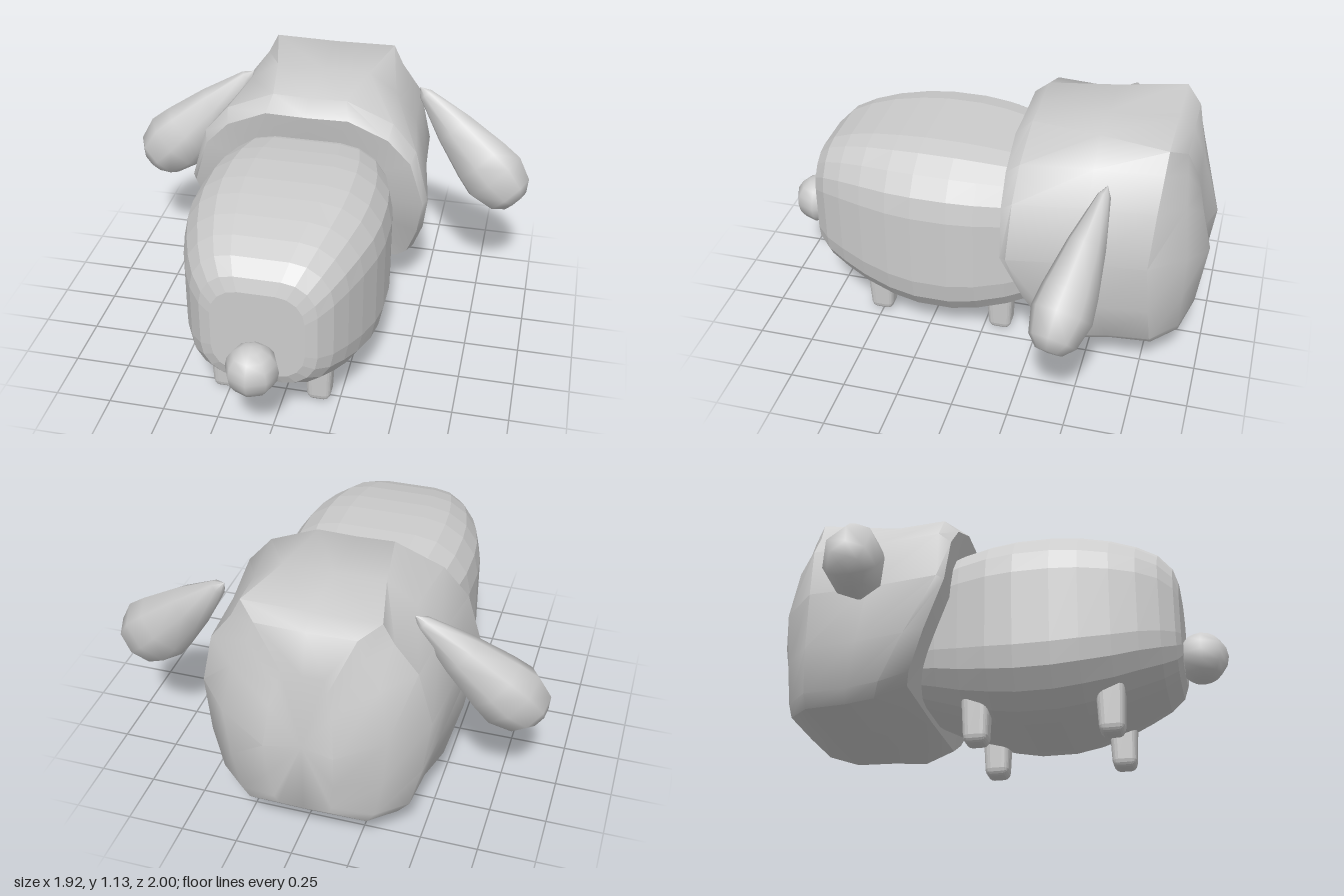
import * as THREE from 'three';
import { toCreasedNormals } from 'three/addons/utils/BufferGeometryUtils.js';
import { RoundedBoxGeometry } from 'three/addons/geometries/RoundedBoxGeometry.js';

const CX = -0.045; // the body and head sit slightly off centre

// Skin closed rings (clockwise seen from +z, ordered towards -z) and cap both ends
function loft(rings) {
  const n = rings[0].length, pos = [], index = [];
  rings.forEach(r => r.forEach(p => pos.push(...p)));
  const at = (i, k) => i * n + (k % n);
  for (let i = 0; i < rings.length - 1; i++)
    for (let k = 0; k < n; k++) {
      const a = at(i, k), b = at(i, k + 1), c = at(i + 1, k), d = at(i + 1, k + 1);
      index.push(a, b, c, b, d, c);
    }
  [0, rings.length - 1].forEach(i => {
    const centre = pos.length / 3;
    pos.push(...[0, 1, 2].map(j => rings[i].reduce((s, p) => s + p[j], 0) / n));
    for (let k = 0; k < n; k++)
      index.push(centre, ...(i === 0 ? [at(i, k + 1), at(i, k)] : [at(i, k), at(i, k + 1)]));
  });
  const g = new THREE.BufferGeometry();
  g.setAttribute('position', new THREE.Float32BufferAttribute(pos, 3));
  g.setIndex(index);
  return g;
}

function flat(g) {
  const out = g.index ? g.toNonIndexed() : g;
  out.computeVertexNormals();
  return out;
}

// Rounded rectangle ring with four facets per corner
function roundedRing(z, hw, bottom, top) {
  const ring = [], cy = (top + bottom) / 2, hh = (top - bottom) / 2;
  const rx = hw * 0.6, ry = hh * 0.6;
  [[1, 1], [1, -1], [-1, -1], [-1, 1]].forEach(([sx, sy], q) => {
    for (let i = 0; i <= 4; i++) {
      const a = Math.PI / 2 * (1 - q - i / 4);
      ring.push([CX + sx * (hw - rx) + rx * Math.cos(a), cy + sy * (hh - ry) + ry * Math.sin(a), z]);
    }
  });
  return ring;
}

function makeBody() {
  // half of the body: distance from its middle, half width, bottom, top
  const half = [[0.61, 0.2, 0.33, 0.74], [0.59, 0.25, 0.285, 0.8], [0.53, 0.305, 0.24, 0.86],
    [0.44, 0.35, 0.2, 0.9], [0.33, 0.39, 0.155, 0.93], [0.2, 0.425, 0.12, 0.95], [0.08, 0.44, 0.1, 0.96]];
  const all = [...half, ...half.slice().reverse().map(([d, ...r]) => [-d, ...r])];
  return flat(loft(all.map(([d, hw, b, t]) => roundedRing(0.2 + d, hw, b, t))));
}

// Head ring: one shared half outline, fitted to a width, height and crown, with z bent along its height
function headRing([width, bottom, top, crown, zTop, zMid, zBottom]) {
  // half width and relative height, from top centre to bottom centre
  const outline = [[0, 0.995], [0, 1], [0.35, 0.905], [0.45, 0.77], [0.51, 0.515],
    [0.48, 0.26], [0.43, 0.06], [0.38, 0.006], [0, 0]];
  const right = outline.map(([x, t], i) => [
    i === 1 ? crown : x * width,
    THREE.MathUtils.lerp(bottom, top, t),
    t > 0.515 ? THREE.MathUtils.mapLinear(t, 0.515, 1, zMid, zTop) : THREE.MathUtils.mapLinear(t, 0, 0.515, zBottom, zMid),
  ]);
  const left = right.slice(1, -1).reverse().map(([x, y, z]) => [-x, y, z]);
  return [...right, ...left].map(([x, y, z]) => [CX + x, y, z]);
}

function makeHead() {
  const rings = [
    [1.06, 0.22, 1.05, 0.19, -0.13, -0.15, -0.34], // sloping neck rim
    [1.1, 0.17, 1.115, 0.17, -0.2, -0.18, -0.48], // widest ring behind the cheeks
    [1, 0.17, 1.12, 0.22, -0.5, -0.5, -0.62], // middle
    [0.96, 0.17, 1.128, 0.29, -0.8, -0.77, -0.8], // brow with two corners
    [0.68, 0.18, 1.08, 0.21, -0.87, -0.92, -0.905], // edge of the face
    [0.29, 0.235, 0.9, 0.09, -0.915, -1, -0.955], // front of the face
  ];
  return toCreasedNormals(loft(rings.map(headRing)), 0.75);
}

// Drooping ear: a tapered pod from a thin root to a rounded tip
function makeEar(side) {
  const profile = [[0, 0], [0.07, 0.005], [0.125, 0.05], [0.16, 0.16], [0.145, 0.26], [0.1, 0.46], [0.035, 0.67], [0, 0.715]];
  const g = new THREE.LatheGeometry(profile.map(p => new THREE.Vector2(...p)), 8);
  g.scale(1, 1, 0.82);
  const tip = new THREE.Vector3(side * 0.906, 0.536, -0.455);
  const root = new THREE.Vector3(side * 0.4, 1.035, -0.58);
  const y = root.clone().sub(tip).normalize();
  const x = new THREE.Vector3(y.y, -y.x, 0).normalize();
  const z = x.clone().cross(y);
  g.applyMatrix4(new THREE.Matrix4().makeBasis(x, y, z).setPosition(tip));
  return g;
}

// Stubby leg, narrower towards the foot
function makeLeg() {
  const h = 0.3, g = new RoundedBoxGeometry(0.13, h, 0.13, 2, 0.035);
  const p = g.attributes.position;
  for (let i = 0; i < p.count; i++) {
    const s = 0.78 + 0.22 * Math.min(1, (p.getY(i) + h / 2) / 0.16);
    p.setX(i, p.getX(i) * s);
    p.setZ(i, p.getZ(i) * s);
  }
  return flat(g);
}

export function createModel() {
  const model = new THREE.Group();
  model.name = 'longEaredAnimal';
  const grey = new THREE.MeshStandardMaterial({ color: 0xcccccc });
  grey.name = 'light grey';
  const add = (name, geometry, x = 0, y = 0, z = 0) => {
    const mesh = new THREE.Mesh(geometry, grey);
    mesh.name = name;
    mesh.position.set(x, y, z);
    model.add(mesh);
  };

  add('body', makeBody());
  add('head', makeHead());
  add('tail', new THREE.SphereGeometry(0.115, 8, 8), -0.05, 0.415, 0.885);

  const leg = makeLeg();
  for (const [side, dx] of [['left', 0.215], ['right', -0.215]]) {
    // the animal looks towards -z, so its head end is at negative z
    add(side + 'HeadEndLeg', leg, CX + dx - 0.013, 0.15, -0.075);
    add(side + 'TailEndLeg', leg, CX + dx - 0.013, 0.15, 0.505);
    add(side + 'Ear', makeEar(Math.sign(dx)));
  }
  return model;
}
